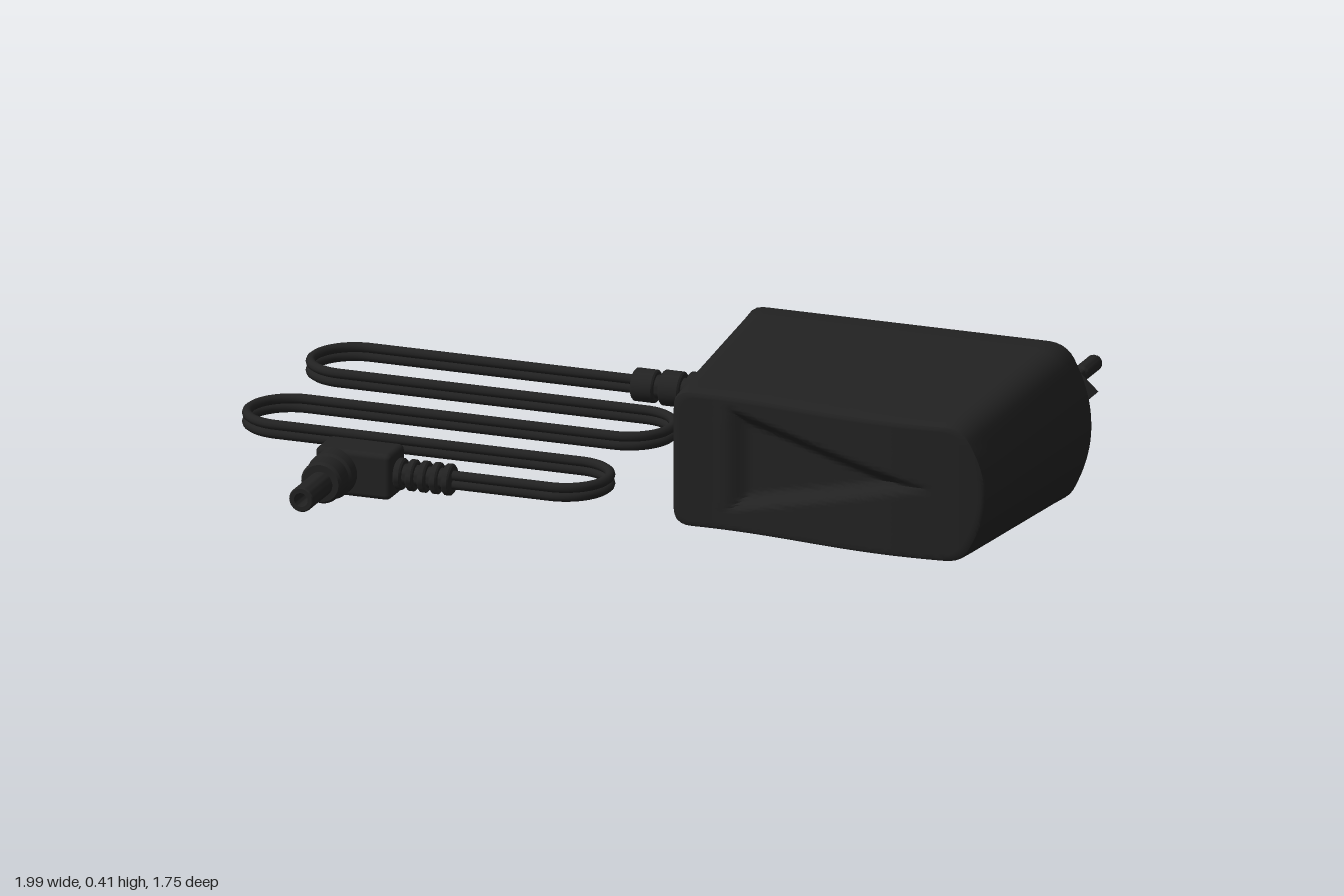
import * as THREE from 'three';
import { toCreasedNormals } from 'three/addons/utils/BufferGeometryUtils.js';
import { RoundedBoxGeometry } from 'three/addons/geometries/RoundedBoxGeometry.js';

const black = new THREE.MeshStandardMaterial({ color: 0x222222 });
black.name = 'black plastic';
const Y = 0.213; // height of the cord, plug and pins

function part(group, name, geometry, x = 0, y = 0, z = 0) {
  const mesh = new THREE.Mesh(geometry, black);
  mesh.name = name;
  mesh.position.set(x, y, z);
  group.add(mesh);
  return mesh;
}

// Turned part from [radius, distance] pairs, laid along +x, +z or -z
function turned(profile, axis, segments = 24) {
  const g = new THREE.LatheGeometry(profile.map(p => new THREE.Vector2(p[0], p[1])), segments);
  if (axis === 'x') g.rotateZ(-Math.PI / 2);
  else g.rotateX(axis === 'z' ? Math.PI / 2 : -Math.PI / 2);
  return toCreasedNormals(g, 0.6);
}

// Wavy front of the housing with a sunken triangular grip
const frontWave = x => 0.2275 - 0.0225 * Math.cos(Math.PI * (x - 0.22) / 0.5);
function gripDepth(x, y) {
  const half = 0.14 * (0.84 - x) / 0.57;
  const d = Math.min((x - 0.255) * 0.7, half - Math.abs(y - 0.218));
  return 0.028 * THREE.MathUtils.smoothstep(d, 0, 0.045);
}

// Housing: one outline swept from back to front, tapering, closed by concentric rings
function housingGeometry() {
  const s = new THREE.Shape();
  s.moveTo(0.13, 0).lineTo(0.88, 0);
  s.quadraticCurveTo(0.935, 0, 0.955, 0.05);
  s.quadraticCurveTo(1.035, 0.2075, 0.955, 0.365);
  s.quadraticCurveTo(0.935, 0.415, 0.88, 0.415);
  s.lineTo(0.13, 0.415);
  s.quadraticCurveTo(0.08, 0.415, 0.08, 0.365);
  s.lineTo(0.08, 0.05);
  s.quadraticCurveTo(0.08, 0, 0.13, 0);
  const n = 160, outline = s.getSpacedPoints(n);
  const cx = 0.535, cy = 0.2075, back = -0.42;
  // each ring: share of the depth, inset of the edge, setback from the front, shrink of the cap
  const rings = [[0, 0.014, 0, 0.001], [0, 0.014, 0, 1], [0, 0.004, -0.004, 1], [0, 0, -0.014, 1]];
  for (let i = 1; i < 8; i++) rings.push([i / 8, 0, 0, 1]);
  rings.push([1, 0, 0.012, 1], [1, 0.003, 0.004, 1], [1, 0.012, 0, 1]);
  const caps = 36;
  for (let i = 1; i <= caps; i++) rings.push([1, 0.012, 0, Math.max(1 - i / caps, 0.001)]);
  const pos = [], index = [];
  rings.forEach(([t, inset, setback, cap], i) => {
    const kx = (1 - 0.082 * t) * (1 - inset / 0.457) * cap;
    const ky = (1 - 0.15 * t) * (1 - inset / 0.2075) * cap;
    outline.forEach((p, j) => {
      const x = cx + (p.x - cx) * kx, y = cy + (p.y - cy) * ky;
      const front = frontWave(x) - (t === 1 ? gripDepth(x, y) : 0);
      pos.push(x, y, back + (front - back) * t - setback);
      if (i < rings.length - 1 && j < n) {
        const a = i * (n + 1) + j, d = a + n + 1;
        index.push(a, a + 1, d + 1, a, d + 1, d);
      }
    });
  });
  const g = new THREE.BufferGeometry();
  g.setAttribute('position', new THREE.Float32BufferAttribute(pos, 3));
  g.setIndex(index);
  return toCreasedNormals(g, 0.7);
}

// Six-sided prism with pointed ends
function hexPrism(halfWidth, halfFlat, halfHeight, depth) {
  const s = new THREE.Shape([
    [-halfWidth, 0], [-halfFlat, -halfHeight], [halfFlat, -halfHeight],
    [halfWidth, 0], [halfFlat, halfHeight], [-halfFlat, halfHeight],
  ].map(p => new THREE.Vector2(...p)));
  return new THREE.ExtrudeGeometry(s, { depth, bevelEnabled: false });
}

// Cord path in the x-z plane
class CordCurve extends THREE.Curve {
  constructor(y) {
    super();
    this.y = y;
    const p = this.path = new THREE.Path(), q = Math.PI / 2, r = 0.11;
    p.moveTo(-0.1, -0.295);
    for (const z of [-0.295, 0.145]) {
      p.lineTo(-0.8775, z).absarc(-0.8775, z + r, r, -q, q, true);
      p.lineTo(-0.0625, z + 2 * r).absarc(-0.0625, z + 3 * r, r, -q, q, false);
    }
    p.lineTo(-0.4, 0.585);
  }
  getPoint(t, target = new THREE.Vector3()) {
    const p = this.path.getPoint(t);
    return target.set(p.x, this.y, p.y);
  }
}

// Ribbed strain relief along x: a core with rings [start, end, radius]
function strainRelief(name, coreRadius, rings, z) {
  const g = new THREE.Group();
  g.name = name;
  const first = rings[0][0], last = rings[rings.length - 1][1];
  part(g, 'core', turned([[0, first], [coreRadius, first], [coreRadius, last], [0, last]], 'x'), 0, Y, z);
  for (const [a, b, r] of rings) {
    part(g, 'rib', turned([[0, a], [r - 0.004, a], [r, a + 0.004], [r, b - 0.004], [r - 0.004, b], [0, b]], 'x'), 0, Y, z);
  }
  return g;
}

export function createModel() {
  const model = new THREE.Group();
  model.name = 'powerAdapter';
  part(model, 'housing', housingGeometry());

  // Mains plug on the back
  part(model, 'plugSeat', hexPrism(0.25, 0.15, 0.11, 0.008), 0.715, Y, -0.425);
  part(model, 'plugBlock', hexPrism(0.205, 0.12, 0.078, 0.24), 0.715, Y, -0.65);
  const pin = turned([
    [0.021, -0.01], [0.021, 0.035], [0.015, 0.04], [0.015, 0.115], [0.021, 0.122],
    [0.021, 0.212], [0.017, 0.222], [0.009, 0.227], [0, 0.228],
  ], '-z', 20);
  for (const side of [-1, 1]) part(model, 'pin', pin, 0.715 + side * 0.112, Y, -0.65);

  // Twin-wire cord
  for (const side of [-1, 1]) {
    part(model, 'cordWire', new THREE.TubeGeometry(new CordCurve(Y + side * 0.0115), 360, 0.0125, 10));
  }

  // Strain relief at the housing
  model.add(strainRelief('housingStrainRelief', 0.03, [
    [-0.175, -0.115, 0.042], [-0.1, -0.045, 0.045], [-0.03, 0.015, 0.048], [0.03, 0.1, 0.05],
  ], -0.295));

  // Strain relief at the connector
  const ribs = [];
  for (let i = 0; i < 5; i++) ribs.push([-0.468 + i * 0.032, -0.448 + i * 0.032, 0.04]);
  model.add(strainRelief('connectorStrainRelief', 0.027, ribs, 0.585));

  // Angled connector
  const connector = new THREE.Group();
  connector.name = 'connector';
  part(connector, 'elbow', new RoundedBoxGeometry(0.2, 0.12, 0.108, 3, 0.014), -0.568, Y + 0.002, 0.584);
  part(connector, 'elbowBarrel', turned([
    [0, 0], [0.048, 0], [0.06, 0.012], [0.06, 0.143], [0.054, 0.15], [0.054, 0.198], [0.048, 0.206], [0, 0.206],
  ], 'z', 32), -0.615, Y + 0.002, 0.53);
  // hollow tip
  part(connector, 'tip', turned([
    [0.032, 0], [0.032, 0.138], [0.029, 0.141], [0.018, 0.141], [0.018, 0.04], [0, 0.04],
  ], 'z', 28), -0.615, Y, 0.73);
  model.add(connector);
  return model;
}
